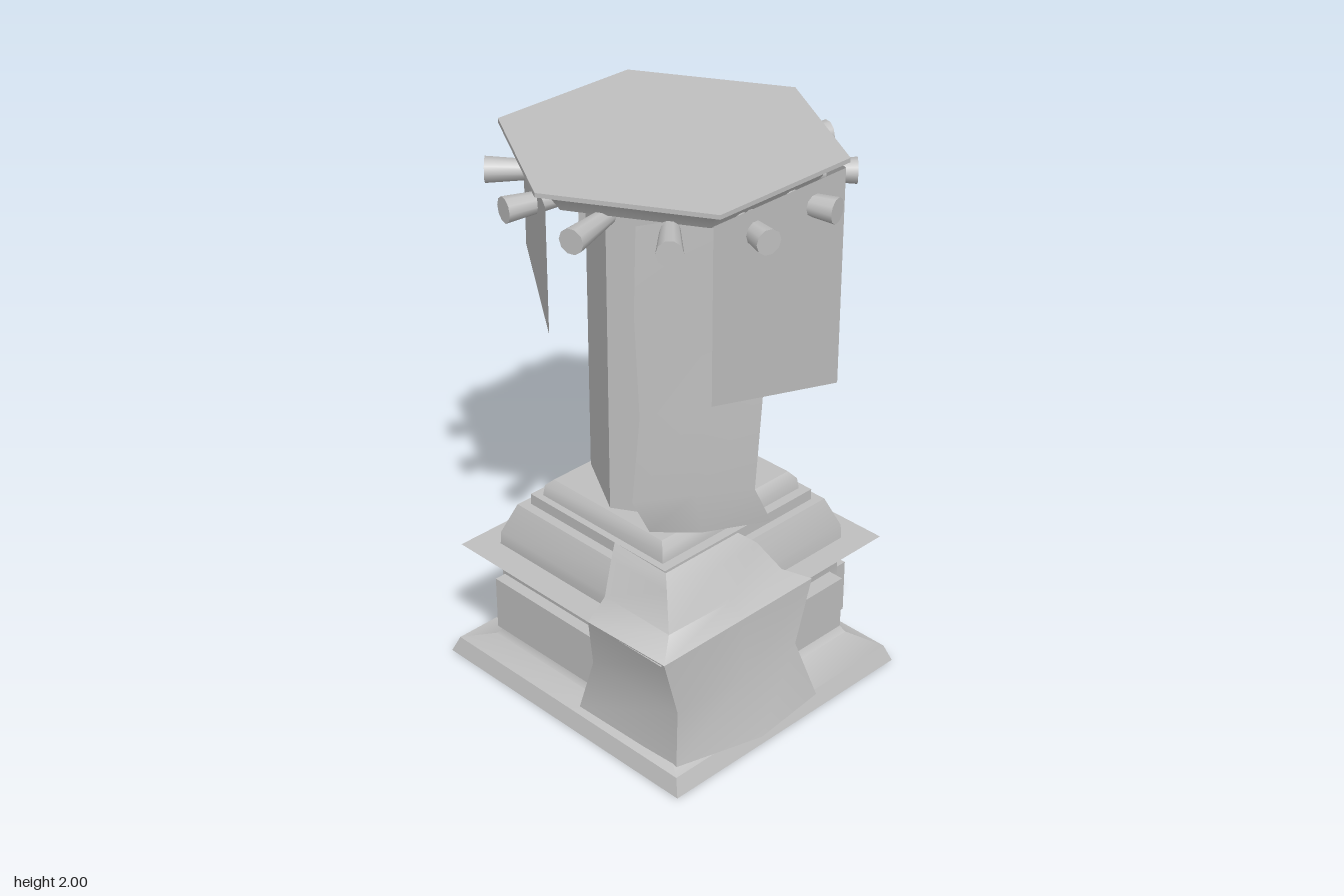
import * as THREE from 'three';
import { toCreasedNormals } from 'three/addons/utils/BufferGeometryUtils.js';

const CZ = -0.015; // shared z centre of pedestal, column and cap

// Surface from rows of [x, y, z] points; closed joins the ends of every row.
function gridSurface(rows, closed, crease) {
  const n = rows[0].length, index = [];
  const m = closed ? n : n - 1;
  for (let r = 0; r < rows.length - 1; r++) {
    for (let i = 0; i < m; i++) {
      const j = (i + 1) % n;
      const a = r * n + i, b = r * n + j, c = a + n, d = b + n;
      index.push(a, b, d, a, d, c);
    }
  }
  const g = new THREE.BufferGeometry();
  g.setAttribute('position', new THREE.Float32BufferAttribute(rows.flat(2), 3));
  g.setIndex(index);
  g.computeVertexNormals();
  return crease ? toCreasedNormals(g, crease) : g;
}

// Six-sided turned part with corners on the x axis.
function hexLathe(profile) {
  const pts = profile.map(([r, y]) => new THREE.Vector2(r, y));
  return toCreasedNormals(new THREE.LatheGeometry(pts, 6, Math.PI / 6), 0.7);
}

export function createModel() {
  const model = new THREE.Group();
  const stone = new THREE.MeshStandardMaterial({ color: 0xbfbfbf, side: THREE.DoubleSide });
  stone.name = 'grey stone';

  const add = (name, geometry, x = 0, y = 0, z = 0, parent = model) => {
    const mesh = new THREE.Mesh(geometry, stone);
    mesh.name = name;
    mesh.position.set(x, y, z);
    parent.add(mesh);
    return mesh;
  };

  // Moulded pedestal, open below: [half x, half z, y]
  const profile = [
    [0.535, 0.57, 0], [0.515, 0.545, 0.06], [0.44, 0.43, 0.1], [0.425, 0.405, 0.13],
    [0.425, 0.39, 0.4], [0.435, 0.415, 0.44], [0.53, 0.49, 0.49], [0.43, 0.4, 0.49],
    [0.43, 0.395, 0.54], [0.385, 0.355, 0.65], [0.35, 0.325, 0.65], [0.35, 0.325, 0.69],
    [0.325, 0.29, 0.69], [0.32, 0.285, 0.73], [0.3, 0.26, 0.755], [0, 0, 0.755],
  ];
  const corners = [[1, 1], [1, -1], [-1, -1], [-1, 1]];
  const rings = profile.map(([hx, hz, y]) => corners.map(([sx, sz]) => [sx * hx, y, sz * hz]));
  add('pedestal', gridSurface(rings, true, 0.7), 0, 0, CZ);

  // Raised panels on the four pedestal faces
  for (const s of [-1, 1]) {
    add('sidePanel', new THREE.BoxGeometry(0.06, 0.2, 0.78), s * 0.437, 0.265, CZ);
    add('endPanel', new THREE.BoxGeometry(0.77, 0.2, 0.06), 0, 0.265, CZ + s * 0.42);
  }

  // Column and flaring cap
  add('column', hexLathe([[0.285, 0.75], [0.285, 1.86]]), 0, 0, CZ);
  add('cap', hexLathe([
    [0.285, 1.84], [0.31, 1.84], [0.36, 1.89], [0.47, 1.91], [0.51, 1.965],
    [0.57, 1.985], [0.57, 2], [0, 2],
  ]), 0, 0, CZ);

  // Twelve flared pegs around the cap
  const peg = new THREE.CylinderGeometry(0.043, 0.028, 0.21, 10);
  peg.rotateZ(-Math.PI / 2);
  peg.translate(0.48, 1.89, 0);
  for (let i = 0; i < 12; i++) {
    add('peg', peg, 0, 0, CZ).rotation.y = (i + 0.5) * Math.PI / 6;
  }

  // Torn cloths hung from the cap: [x, z, bottom y]
  const hang = (name, pts, top) => add(name, gridSurface([
    pts.map(([x, z, y]) => [x, y, z]),
    pts.map(([x, z]) => [x, top, z]),
  ], false, 0.5));
  hang('frontCloth', [[-0.31, 0.475, 1.36], [0.27, 0.475, 1.21], [0.5, -0.1, 1.15]], 1.97);
  hang('backCloth', [[0.5, -0.1, 1.53], [0.27, -0.41, 1.42], [-0.04, -0.41, 1.53]], 1.93);
  hang('sideCloth', [[-0.56, 0.02, 1.53], [-0.33, -0.34, 1.63]].reverse(), 1.96);

  // Long loose strip beside the column
  add('longStrip', gridSurface([
    [[-0.33, 0.79, 0.22], [-0.2, 0.78, 0.33], [0.02, 0.77, 0.43]],
    [[-0.42, 0.95, 0.235], [-0.23, 0.94, 0.33], [-0.05, 0.92, 0.42]],
    [[-0.385, 1.25, 0.235], [-0.2, 1.27, 0.33], [-0.02, 1.28, 0.42]],
    [[-0.41, 1.62, 0.24], [-0.22, 1.62, 0.33], [-0.03, 1.62, 0.42]],
    [[-0.4, 1.92, 0.24], [-0.22, 1.92, 0.33], [-0.03, 1.92, 0.42]],
  ], false));

  // Cloth draped over the front corner of the pedestal
  add('drapedCloth', gridSurface([
    [[-0.5, 0.08, 0.05], [-0.485, 0.07, 0.5], [-0.16, 0.06, 0.58], [0.14, 0.06, 0.55]],
    [[-0.48, 0.28, 0.1], [-0.47, 0.28, 0.49], [-0.17, 0.28, 0.51], [0.08, 0.28, 0.5]],
    [[-0.535, 0.495, 0.14], [-0.525, 0.495, 0.485], [-0.17, 0.5, 0.49], [0.17, 0.495, 0.485]],
    [[-0.44, 0.54, 0.12], [-0.44, 0.54, 0.42], [-0.17, 0.54, 0.43], [0.09, 0.54, 0.42]],
    [[-0.39, 0.655, 0.1], [-0.39, 0.655, 0.36], [-0.17, 0.655, 0.38], [0.02, 0.655, 0.37]],
    [[-0.355, 0.695, 0.08], [-0.355, 0.69, 0.32], [-0.18, 0.7, 0.33], [-0.02, 0.69, 0.32]],
  ], false, 0.8));

  return model;
}
